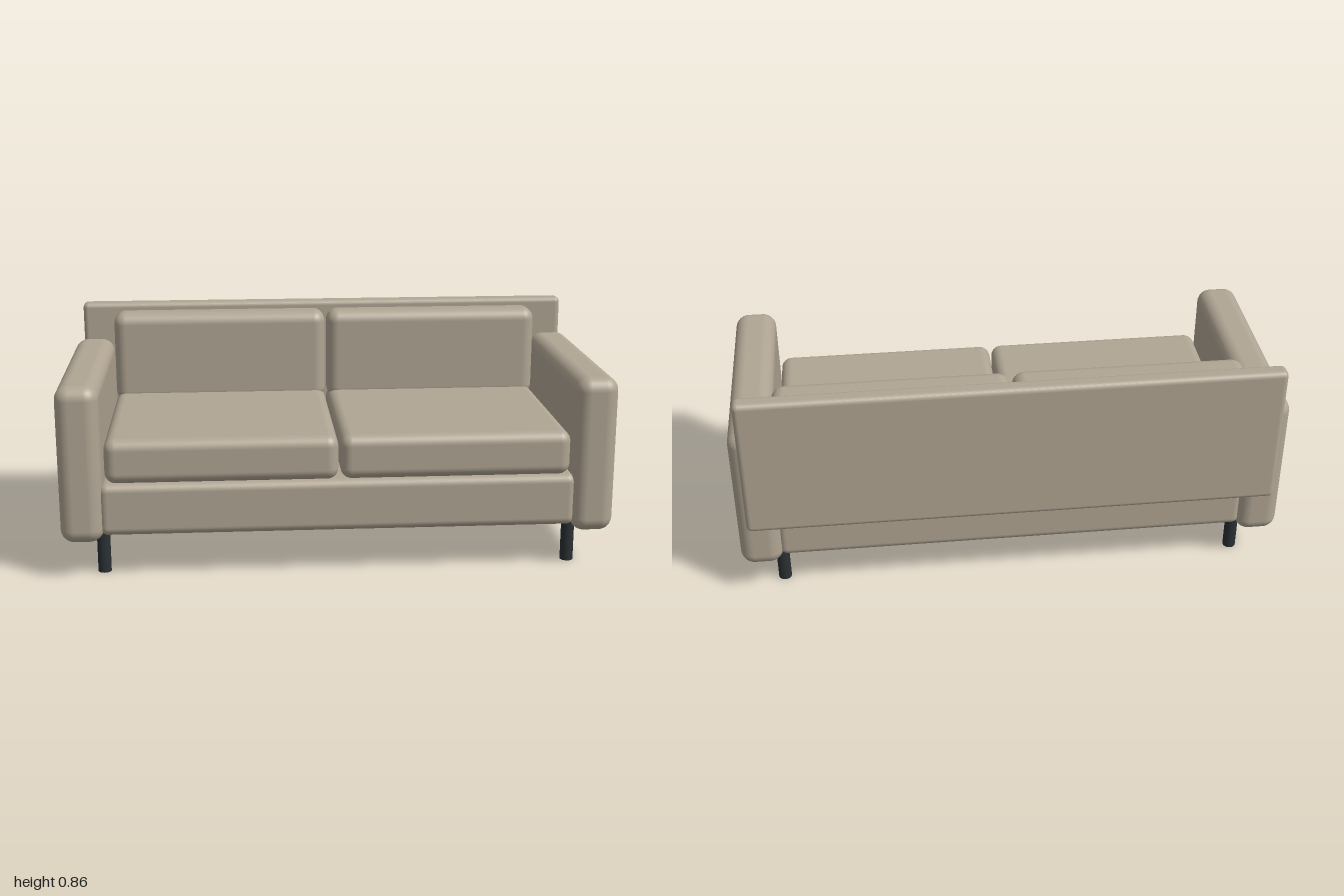
import * as THREE from 'three';
import { RoundedBoxGeometry } from 'three/addons/geometries/RoundedBoxGeometry.js';

export function createModel() {
  const sofa = new THREE.Group();
  sofa.name = 'sofa';
  const fabric = new THREE.MeshStandardMaterial({ color: 0xb0a593 });
  const darkMetal = new THREE.MeshStandardMaterial({ color: 0x2a3034 });

  // Upholstered block given by its [min, max] extent on each axis
  function block(name, [x0, x1], [y0, y1], [z0, z1], radius) {
    const geometry = new RoundedBoxGeometry(x1 - x0, y1 - y0, z1 - z0, 6, radius);
    const mesh = new THREE.Mesh(geometry, fabric);
    mesh.name = name;
    mesh.position.set((x0 + x1) / 2, (y0 + y1) / 2, (z0 + z1) / 2);
    sofa.add(mesh);
  }

  // Frame and back panel
  block('base', [-0.86, 0.86], [0.16, 0.352], [-0.41, 0.432], 0.03);
  block('backPanel', [-0.965, 0.965], [0.313, 0.857], [-0.453, -0.387], 0.02);

  // Mirrored arms, cushions and legs
  for (const [side, s] of [['left', 1], ['right', -1]]) {
    const span = (a, b) => (s > 0 ? [a, b] : [-b, -a]);
    block(side + 'Arm', span(0.846, 1), [0.137, 0.712], [-0.433, 0.453], 0.05);
    block(side + 'SeatCushion', span(0.004, 0.838), [0.35, 0.513], [-0.385, 0.43], 0.04);
    block(side + 'BackCushion', span(0.004, 0.838), [0.475, 0.832], [-0.4, -0.27], 0.045);

    for (const [end, z] of [['Front', 0.343], ['Back', -0.325]]) {
      const leg = new THREE.Mesh(new THREE.CylinderGeometry(0.024, 0.024, 0.18, 24), darkMetal);
      leg.name = side + end + 'Leg';
      leg.position.set(s * 0.855, 0.09, z);
      sofa.add(leg);
    }
  }
  return sofa;
}
